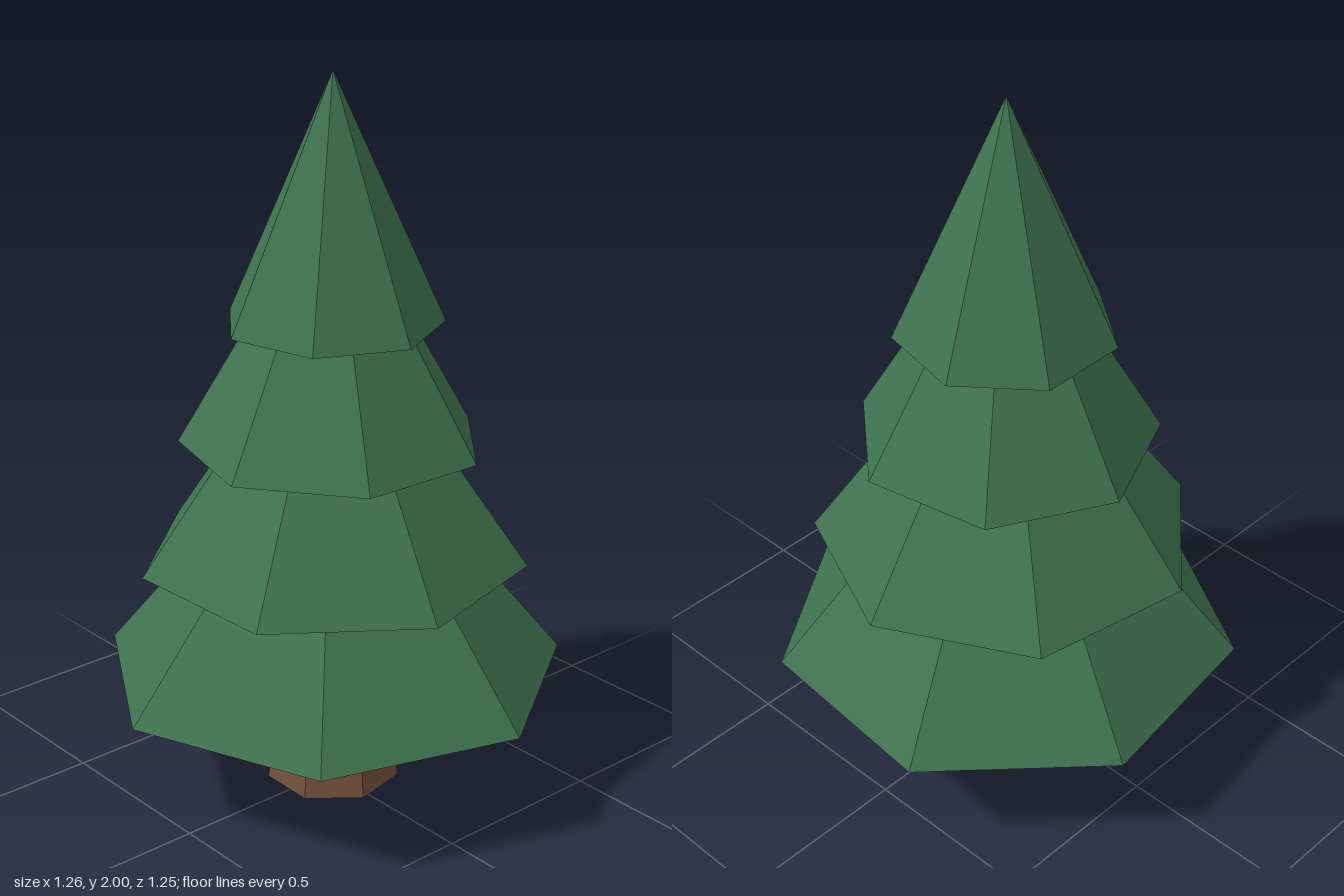
import * as THREE from 'three';

const SIDES = 7;

export function createModel() {
  const tree = new THREE.Group();
  tree.name = 'pineTree';

  const foliage = new THREE.MeshStandardMaterial({ color: 0x3f7350, flatShading: true });
  foliage.name = 'foliage green';
  const bark = new THREE.MeshStandardMaterial({ color: 0x74523a, flatShading: true });
  bark.name = 'bark brown';

  // Every part shares one axis, slightly off the centre of the bounds
  const add = (name, geometry, material, base, height, turn) => {
    const mesh = new THREE.Mesh(geometry, material);
    mesh.name = name;
    mesh.position.set(-0.013, base + height / 2, -0.022);
    mesh.rotation.y = turn;
    tree.add(mesh);
  };

  // Tapered trunk, its top hidden inside the lowest tier
  add('trunk', new THREE.CylinderGeometry(0.142, 0.187, 0.4, SIDES), bark, 0, 0.4, 0.43);

  // Overlapping foliage cones, bottom to top: radius, base, height, turn
  const tiers = [
    [0.649, 0.333, 0.8, -0.088],
    [0.532, 0.667, 0.76, 0.485],
    [0.415, 1.0, 0.715, 0.187],
    [0.298, 1.333, 0.667, -0.212],
  ];
  tiers.forEach(([radius, base, height, turn], i) => {
    add(`foliageTier${i + 1}`, new THREE.ConeGeometry(radius, height, SIDES), foliage, base, height, turn);
  });

  return tree;
}
